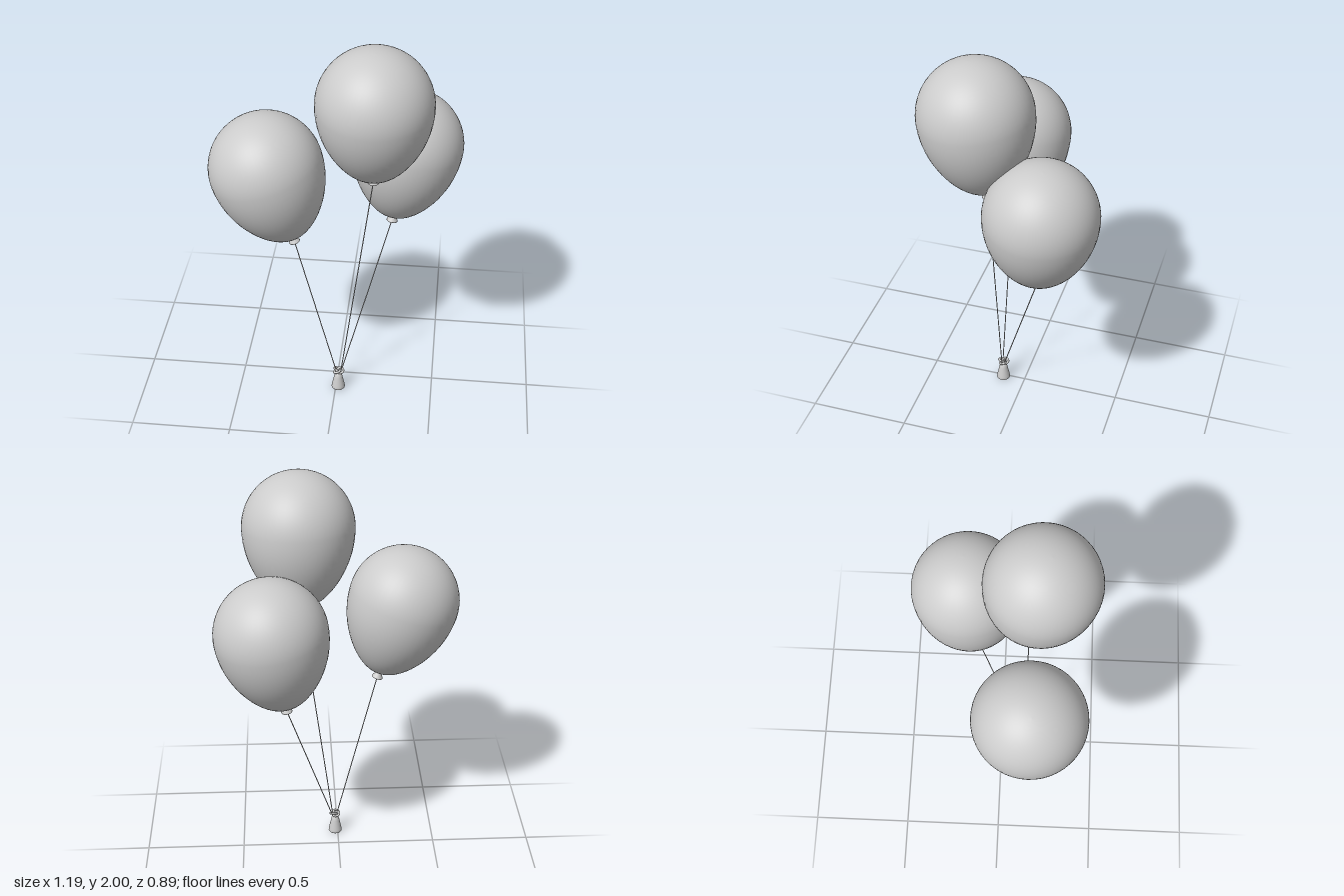
import * as THREE from 'three';

const R = 0.272;      // balloon radius
const DROP = 0.405;   // from widest point down to the neck
const material = new THREE.MeshStandardMaterial({ color: 0xcccccc });
const V = (x, y, z) => new THREE.Vector3(x, y, z);

function part(name, geometry, parent) {
  const mesh = new THREE.Mesh(geometry, material);
  mesh.name = name;
  parent.add(mesh);
  return mesh;
}

// Egg profile with the neck at the origin: tapered below, hemisphere above
function balloonGeometry() {
  const points = [];
  const steps = 40;
  for (let i = 0; i <= steps; i++) {
    const t = -Math.PI / 2 + (Math.PI * i) / steps;
    const s = Math.sin(t);
    const taper = s < 0 ? 1 - 0.16 * s * s : 1;
    const r = i === 0 || i === steps ? 0 : R * Math.cos(t) * taper;
    points.push(new THREE.Vector2(r, DROP + s * (s < 0 ? DROP : R)));
  }
  return new THREE.LatheGeometry(points, 48);
}

// Flared skirt of rubber below the neck
function neckGeometry() {
  const profile = [[0, -0.034], [0.022, -0.037], [0.028, -0.034], [0.027, -0.029], [0.015, -0.012], [0.008, 0.006]];
  return new THREE.LatheGeometry(profile.map(([x, y]) => new THREE.Vector2(x, y)), 24);
}

export function createModel() {
  const model = new THREE.Group();
  model.name = 'balloonBunch';
  const base = V(0.013, 0, 0.115);

  // Weight that holds the strings
  const weightProfile = [[0, 0], [0.032, 0], [0.035, 0.004], [0.033, 0.018], [0.022, 0.07], [0.016, 0.098], [0, 0.102]];
  const weight = part('weight', new THREE.LatheGeometry(
    weightProfile.map(([x, y]) => new THREE.Vector2(x, y)), 32), model);
  weight.position.copy(base);

  // Tied knot on top of the weight
  const tie = part('weightKnot', new THREE.TorusKnotGeometry(0.017, 0.0065, 80, 10, 2, 3), model);
  tie.position.set(base.x, 0.11, base.z);
  tie.rotation.x = Math.PI / 2;
  tie.scale.z = 0.8;

  // Each balloon: neck point, centre of its widest circle, lower end of its string
  const balloons = [
    { name: 'topBalloon', neck: V(0.18, 1.325, 0.13), centre: V(0.183, 1.728, 0.175), tie: V(0.027, 0.11, 0.119) },
    { name: 'rightBalloon', neck: V(-0.21, 0.96, 0.13), centre: V(-0.327, 1.353, 0.14), tie: V(0.003, 0.11, 0.12) },
    { name: 'leftBalloon', neck: V(0.263, 0.934, -0.147), centre: V(0.323, 1.333, -0.175), tie: V(0.03, 0.11, 0.105) },
  ];
  const body = balloonGeometry();
  const neckShape = neckGeometry();

  for (const { name, neck, centre, tie: end } of balloons) {
    const axis = centre.clone().sub(neck).normalize();
    const balloon = new THREE.Group();
    balloon.name = name;
    balloon.position.copy(neck);
    balloon.quaternion.setFromUnitVectors(V(0, 1, 0), axis);
    part('balloonBody', body, balloon);
    part('balloonNeck', neckShape, balloon);
    model.add(balloon);

    // Taut string from the neck to the weight
    const start = neck.clone().addScaledVector(axis, -0.03);
    part('string', new THREE.TubeGeometry(new THREE.LineCurve3(start, end), 1, 0.0025, 8), model);
  }
  return model;
}
